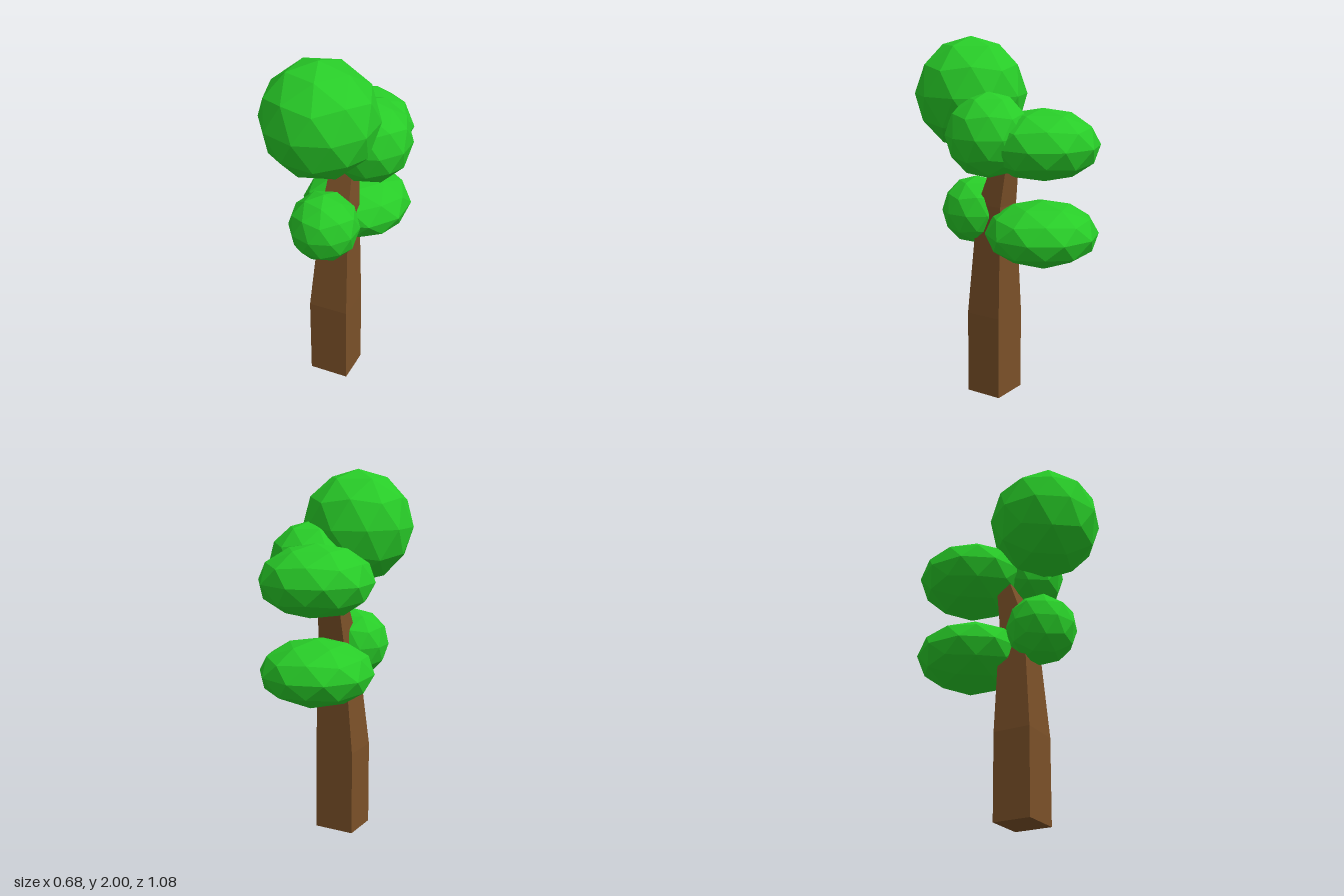
import * as THREE from 'three';

const bark = new THREE.MeshStandardMaterial({ name: 'bark brown', color: 0x7a5028, flatShading: true });
const leaf = new THREE.MeshStandardMaterial({ name: 'leaf green', color: 0x28cc28, flatShading: true });

// Trunk sections from the ground up: y, x min, x max, z min, z max
const SECTIONS = [
  [0, -0.155, 0.07, -0.03, 0.18],
  [0.47, -0.155, 0.07, -0.03, 0.18],
  [1.1, -0.1, 0.055, -0.03, 0.12],
  [1.5, -0.07, 0.03, -0.08, -0.03],
];

// Four-sided trunk: a segmented box with each level fitted to its section
function makeTrunk() {
  const levels = SECTIONS.length - 1;
  const box = new THREE.BoxGeometry(1, 1, 1, 1, levels, 1);
  const p = box.attributes.position;
  for (let i = 0; i < p.count; i++) {
    const [y, x0, x1, z0, z1] = SECTIONS[Math.round((p.getY(i) + 0.5) * levels)];
    p.setXYZ(i, p.getX(i) < 0 ? x0 : x1, y, p.getZ(i) < 0 ? z0 : z1);
  }
  const geometry = box.toNonIndexed();
  geometry.computeVertexNormals();
  const mesh = new THREE.Mesh(geometry, bark);
  mesh.name = 'trunk';
  return mesh;
}

// Faceted leaf ball with one vertex pointing straight up
function makeFoliage(name, [x, y, z], width, height) {
  const geometry = new THREE.IcosahedronGeometry(1, 1);
  geometry.rotateZ(-Math.atan(2 / (1 + Math.sqrt(5))));
  geometry.scale(width, height, width);
  geometry.computeVertexNormals();
  const mesh = new THREE.Mesh(geometry, leaf);
  mesh.name = name;
  mesh.position.set(x, y, z);
  return mesh;
}

export function createModel() {
  const tree = new THREE.Group();
  tree.name = 'tree';
  tree.add(
    makeTrunk(),
    makeFoliage('crownFoliage', [-0.048, 1.692, 0.232], 0.308, 0.308),
    makeFoliage('upperBackFoliage', [-0.048, 1.45, -0.232], 0.308, 0.193),
    makeFoliage('lowerBackFoliage', [-0.048, 0.968, -0.232], 0.308, 0.178),
    makeFoliage('lowerFrontFoliage', [-0.048, 1.044, 0.2], 0.193, 0.193),
    makeFoliage('leftFoliage', [0.121, 1.502, 0], 0.229, 0.229),
  );
  return tree;
}
